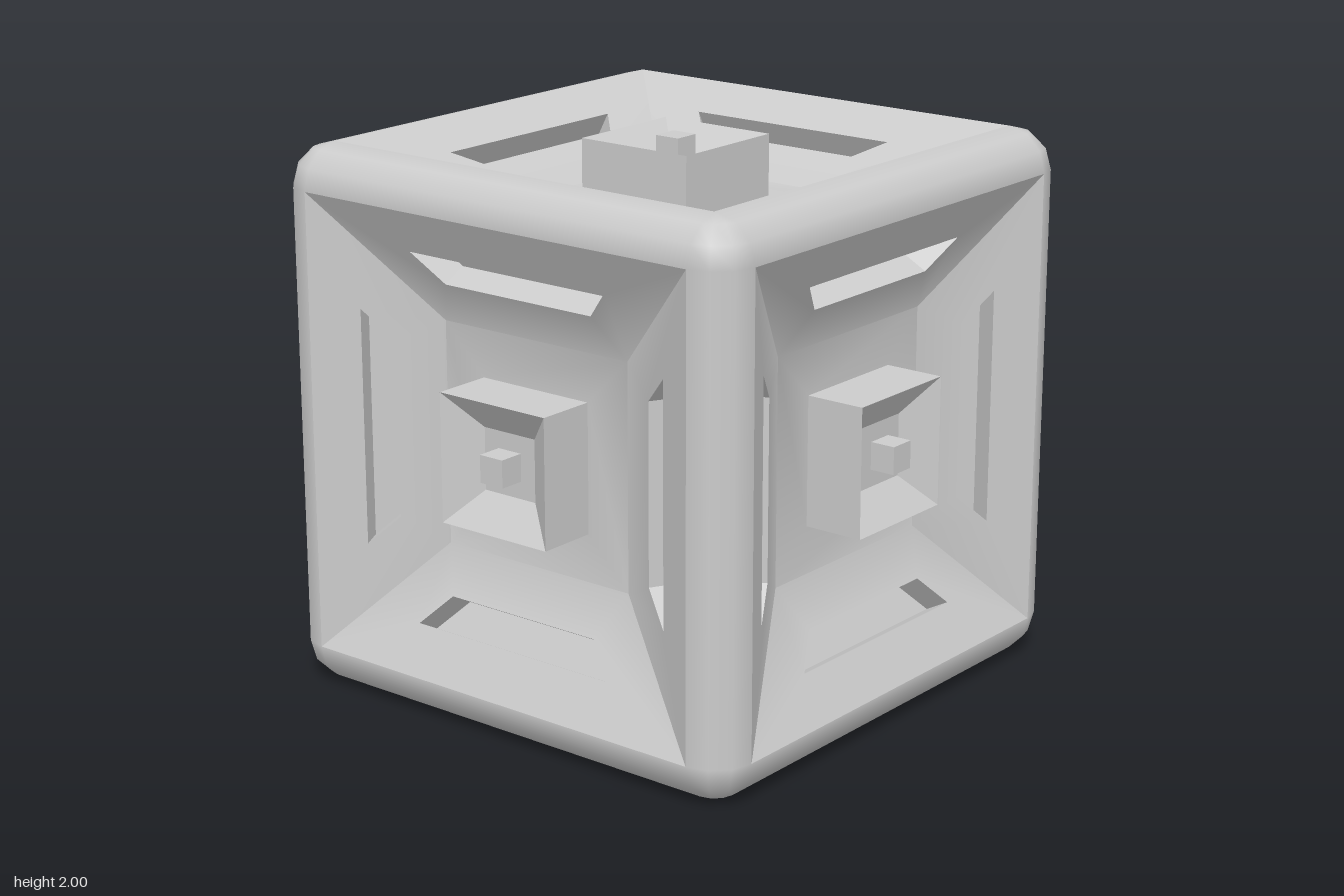
import * as THREE from 'three';
import { toCreasedNormals } from 'three/addons/utils/BufferGeometryUtils.js';

const HALF = 0.845;      // half width of the opening in each face
const R = 1 - HALF;      // radius of the rounded edges
const FLOOR_U = 0.41;    // half width of the sunken floor
const FLOOR_Z = 0.766;   // height of the sunken floor
const SLOT_DEPTH = 0.1;

const material = new THREE.MeshStandardMaterial({ color: 0xcccccc });

// Corner loop of a square facing +z, counter-clockwise
const square = (s, z) => [[-s, -s, z], [s, -s, z], [s, s, z], [-s, s, z]];

// Band of quads between two four-point loops
const ring = (a, b) => a.map((p, i) => [p, a[(i + 1) % 4], b[(i + 1) % 4], b[i]]);

function quadGeometry(quads) {
  const pos = [];
  for (const [a, b, c, d] of quads) pos.push(...a, ...b, ...c, ...a, ...c, ...d);
  const g = new THREE.BufferGeometry();
  g.setAttribute('position', new THREE.Float32BufferAttribute(pos, 3));
  return toCreasedNormals(g, 0.55);
}

// Sunken panel: four sloping walls, each with a slot, around a flat floor
function panelGeometry() {
  const slope = (1 - FLOOR_Z) / (HALF - FLOOR_U);
  const len = Math.hypot(1, slope);
  const wallZ = (u) => 1 - (HALF - u) * slope;
  const trapezoid = (u0, u1, v0, v1) => [
    [u0, -v0, wallZ(u0)], [u1, -v1, wallZ(u1)], [u1, v1, wallZ(u1)], [u0, v0, wallZ(u0)],
  ];
  const wall = trapezoid(FLOOR_U, HALF, FLOOR_U, HALF);
  const slot = trapezoid(0.57, 0.68, 0.325, 0.435);
  const slotFloor = slot.map(([u, v, z]) => [u + SLOT_DEPTH * slope / len, v, z - SLOT_DEPTH / len]);
  const side = [...ring(wall, slot), ...ring(slot, slotFloor), slotFloor];

  const quads = ring(square(FLOOR_U, FLOOR_Z), square(0.235, FLOOR_Z));
  for (let k = 0; k < 4; k++) {
    const c = Math.round(Math.cos(k * Math.PI / 2)), s = Math.round(Math.sin(k * Math.PI / 2));
    for (const q of side) quads.push(q.map(([u, v, z]) => [u * c - v * s, u * s + v * c, z]));
  }
  return quadGeometry(quads);
}

// Raised block with a dished top
function blockGeometry() {
  const rim = square(0.235, 0.99), dish = square(0.113, 0.9);
  return quadGeometry([...ring(square(0.235, FLOOR_Z), rim), ...ring(rim, dish), dish]);
}

// Small cube standing in the dish
function studGeometry() {
  const top = square(0.05, 0.995);
  return quadGeometry([...ring(square(0.05, 0.9), top), top]);
}

export function createModel() {
  const model = new THREE.Group();
  model.name = 'panelledCube';
  const body = new THREE.Group();
  body.name = 'body';
  body.position.y = 1;
  model.add(body);

  const add = (parent, name, geometry, rx = 0, ry = 0, rz = 0) => {
    const mesh = new THREE.Mesh(geometry, material);
    mesh.name = name;
    mesh.rotation.set(rx, ry, rz);
    parent.add(mesh);
  };
  const Q = Math.PI / 2;

  // Rounded edges: four along each axis
  const edge = new THREE.CylinderGeometry(R, R, 2 * HALF, 3, 1, true, 0, Q).translate(HALF, 0, HALF);
  for (const [rx, rz] of [[0, 0], [Q, 0], [0, Q]]) {
    const edges = new THREE.Group();
    edges.name = 'roundedEdges';
    edges.rotation.set(rx, 0, rz);
    for (let k = 0; k < 4; k++) add(edges, 'roundedEdge', edge, 0, k * Q, 0);
    body.add(edges);
  }

  // Rounded corners: four on top, four below
  const corner = new THREE.SphereGeometry(R, 3, 3, Q, Q, 0, Q).translate(HALF, HALF, HALF);
  for (const rx of [0, Math.PI]) {
    const corners = new THREE.Group();
    corners.name = rx ? 'lowerCorners' : 'upperCorners';
    corners.rotation.x = rx;
    for (let k = 0; k < 4; k++) add(corners, 'roundedCorner', corner, 0, k * Q, 0);
    body.add(corners);
  }

  // The same sunken face on all six sides
  const panel = panelGeometry(), block = blockGeometry(), stud = studGeometry();
  const faces = {
    front: [0, 0], left: [0, Q], back: [0, Math.PI], right: [0, -Q], top: [-Q, 0], bottom: [Q, 0],
  };
  for (const [name, [rx, ry]] of Object.entries(faces)) {
    const face = new THREE.Group();
    face.name = name + 'Face';
    face.rotation.set(rx, ry, 0);
    add(face, 'sunkenPanel', panel);
    add(face, 'dishedBlock', block);
    add(face, 'stud', stud);
    body.add(face);
  }
  return model;
}
